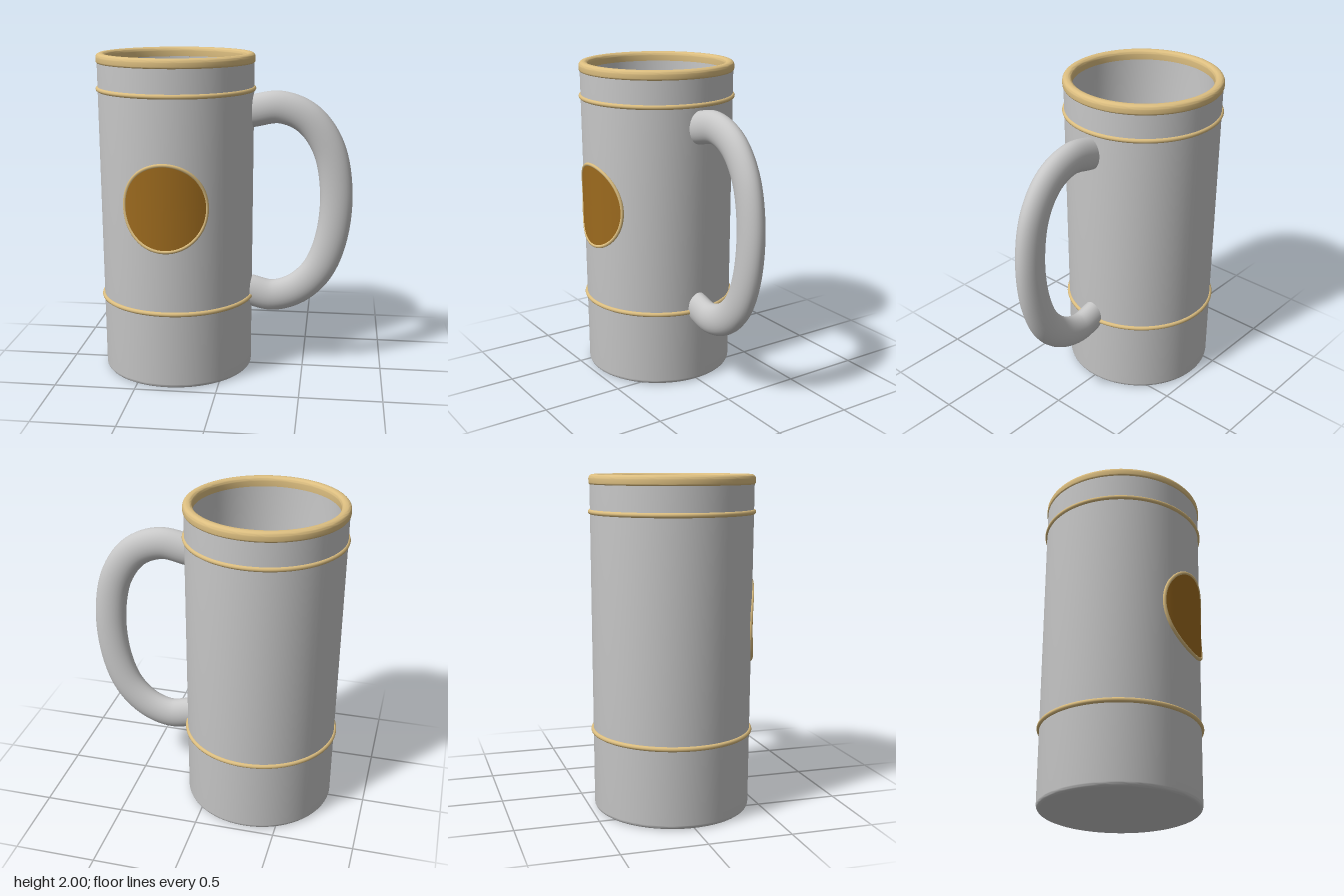
import * as THREE from 'three';
import { toCreasedNormals } from 'three/addons/utils/BufferGeometryUtils.js';

const CX = -0.305; // mug axis
const BADGE_Y = 1.13;

function material(name, color) {
  const m = new THREE.MeshStandardMaterial({ color });
  m.name = name;
  return m;
}

// Points along a rounded corner, angles in degrees
function arc(cx, cy, rx, ry, from, to, steps = 6) {
  return Array.from({ length: steps + 1 }, (_, i) => {
    const a = THREE.MathUtils.degToRad(from + ((to - from) * i) / steps);
    return [cx + rx * Math.cos(a), cy + ry * Math.sin(a)];
  });
}

function lathe(profile) {
  const points = profile.map(([r, y]) => new THREE.Vector2(r, y));
  return toCreasedNormals(new THREE.LatheGeometry(points, 96), 0.6);
}

// Point on the mug's front, for a distance and angle measured on the unrolled wall
function wrap(radius, dist, angle) {
  const turn = (dist * Math.cos(angle)) / 0.48;
  return new THREE.Vector3(radius * Math.sin(turn), BADGE_Y + dist * Math.sin(angle), radius * Math.cos(turn));
}

export function createModel() {
  const grey = material('grey ceramic', 0xc8c8c8);
  const gold = material('pale gold', 0xdcbe80);
  const brown = material('amber brown', 0x9c6a1e);

  const model = new THREE.Group();
  model.name = 'mug';
  const add = (name, geometry, mat, x = CX, y = 0) => {
    const mesh = new THREE.Mesh(geometry, mat);
    mesh.name = name;
    mesh.position.set(x, y, 0);
    model.add(mesh);
    return mesh;
  };

  // Hollow body: base, outer wall, then inner wall down to the floor
  add('body', lathe([
    [0, 0],
    ...arc(0.444, 0.025, 0.025, 0.025, -90, 0),
    [0.48, 1.95], [0.432, 1.95],
    ...arc(0.402, 0.11, 0.025, 0.03, 0, -90),
    [0, 0.08],
  ]), grey);

  // Rounded rim
  add('rim', lathe([
    [0.43, 1.94], [0.479, 1.935],
    ...arc(0.468, 1.953, 0.018, 0.015, -60, 0, 3),
    ...arc(0.461, 1.975, 0.025, 0.025, 0, 90),
    ...arc(0.452, 1.975, 0.024, 0.025, 90, 180),
    [0.43, 1.94],
  ]), gold);

  // Two thin bands
  for (const [name, y, r] of [['upperBand', 1.785, 0.477], ['lowerBand', 0.48, 0.472]]) {
    const band = new THREE.TorusGeometry(r, 0.0145, 10, 96);
    band.rotateX(Math.PI / 2);
    add(name, band, gold, CX, y);
  }

  // Handle, oval in section
  const path = new THREE.CatmullRomCurve3([
    [0.152, 1.647], [0.34, 1.675], [0.51, 1.605], [0.635, 1.43], [0.689, 1.15],
    [0.662, 0.85], [0.58, 0.645], [0.45, 0.52], [0.3, 0.472], [0.152, 0.502],
  ].map(([x, y]) => new THREE.Vector3(x, y, 0)));
  const handle = new THREE.TubeGeometry(path, 72, 0.1, 28);
  handle.scale(1, 1, 0.7);
  add('handle', handle, grey, 0);

  // Round badge wrapped on the front wall
  const disc = new THREE.RingGeometry(0.0001, 0.255, 64, 12);
  const pos = disc.attributes.position;
  for (let i = 0; i < pos.count; i++) {
    const p = wrap(0.483, Math.hypot(pos.getX(i), pos.getY(i)), Math.atan2(pos.getY(i), pos.getX(i)));
    pos.setXYZ(i, p.x, p.y, p.z);
  }
  disc.computeVertexNormals();
  add('badge', disc, brown);

  // Raised border around the badge
  const loop = Array.from({ length: 48 }, (_, i) => wrap(0.478, 0.26, (i / 48) * Math.PI * 2));
  const border = new THREE.TubeGeometry(new THREE.CatmullRomCurve3(loop, true), 96, 0.011, 8, true);
  add('badgeBorder', border, gold);

  return model;
}
